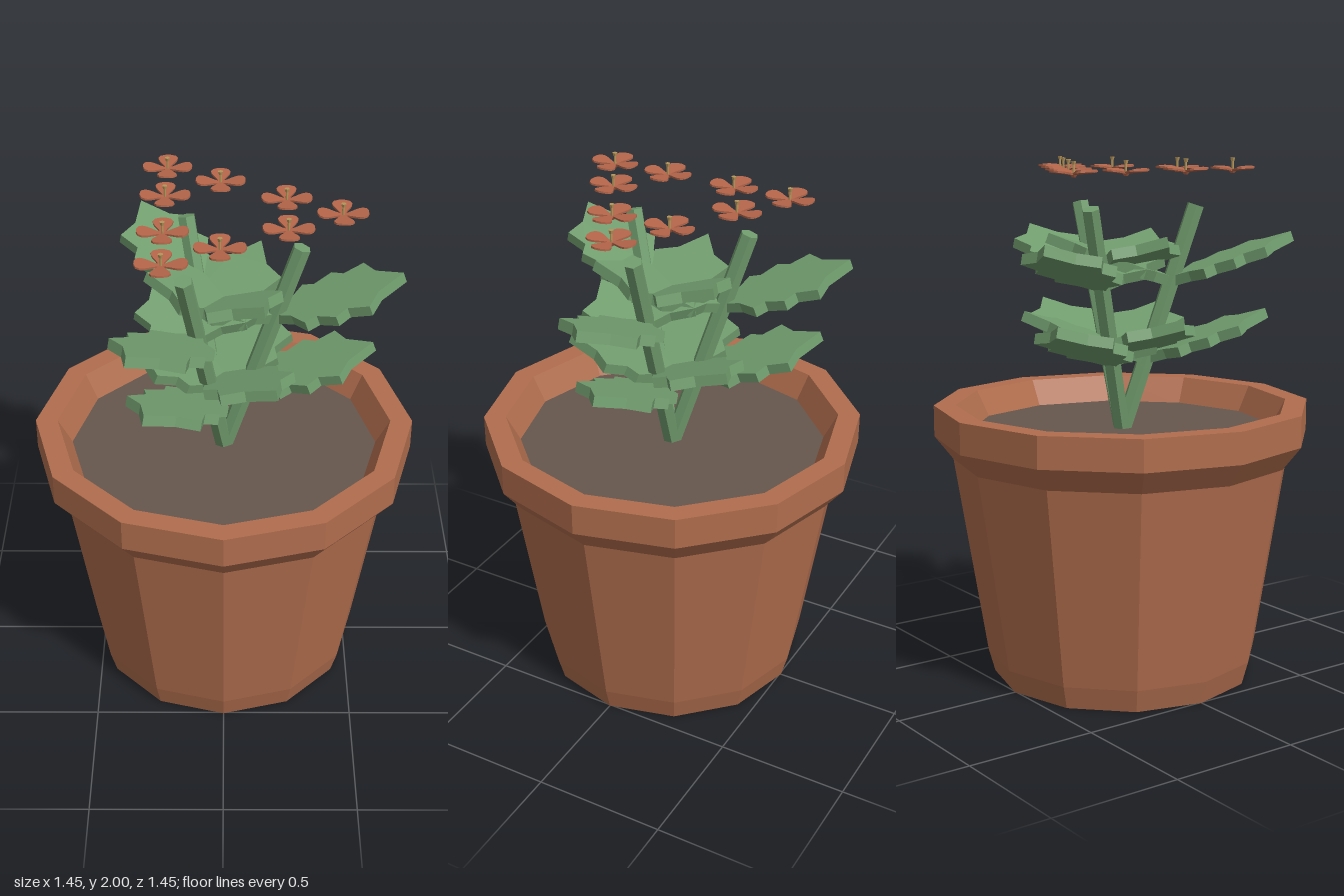
import * as THREE from 'three';

const mat = (name, color) => Object.assign(new THREE.MeshStandardMaterial({ color, flatShading: true }), { name });

export function createModel() {
  const clay = mat('terracotta', 0xb06d4d);
  const earth = mat('soil', 0x66574d);
  const green = mat('leaf green', 0x719d6e);
  const coral = mat('petal coral', 0xb5664a);
  const gold = mat('stamen gold', 0xb5955a);

  const model = new THREE.Group();
  model.name = 'pottedPlant';
  const add = (parent, name, geometry, material) => {
    const mesh = new THREE.Mesh(geometry, material);
    mesh.name = name;
    parent.add(mesh);
    return mesh;
  };
  const points = (list) => list.map(([x, y]) => new THREE.Vector2(x, y));

  // Twelve-sided pot with a thick rim and a shallow inner wall
  const profile = points([
    [0, 0], [0.505, 0], [0.53, 0.09], [0.653, 0.86], [0.724, 0.95],
    [0.724, 1.07], [0.64, 1.07], [0.585, 0.965],
  ]);
  add(model, 'pot', new THREE.LatheGeometry(profile, 12), clay);
  add(model, 'soil', new THREE.CircleGeometry(0.59, 12).rotateX(-Math.PI / 2), earth).position.y = 0.97;

  // Toothed leaf slab, base at the origin, rising towards +x
  const half = [
    [0, 0.015], [0.07, 0.06], [0.12, 0.135], [0.165, 0.115], [0.235, 0.16],
    [0.28, 0.125], [0.36, 0.157], [0.40, 0.075], [0.5, 0],
  ];
  const outline = [...half, ...half.slice(0, -1).reverse().map(([u, v]) => [u, -v])];
  const leafGeo = new THREE.ExtrudeGeometry(new THREE.Shape(points(outline)), { depth: 0.04, bevelEnabled: false });
  leafGeo.translate(0, 0, -0.02).rotateX(-Math.PI / 2).rotateZ(0.345);

  // Leaning stem, seen from its base on the soil
  const baseY = 0.96, topY = 1.825, topR = 0.28;
  const lean = Math.atan2(topR, topY - baseY);
  const stemLength = Math.hypot(topR, topY - baseY);
  const stemGeo = new THREE.CylinderGeometry(0.034, 0.034, stemLength, 6);
  stemGeo.translate(0, stemLength / 2, 0).rotateZ(-lean);

  // Petal widening to a rounded end
  const petal = new THREE.Shape();
  petal.moveTo(0, 0.007);
  petal.bezierCurveTo(0.03, 0.01, 0.045, 0.036, 0.072, 0.036);
  petal.bezierCurveTo(0.1, 0.034, 0.1, -0.034, 0.072, -0.036);
  petal.bezierCurveTo(0.045, -0.036, 0.03, -0.01, 0, -0.007);
  const petalGeo = new THREE.ExtrudeGeometry(petal, { depth: 0.007, bevelEnabled: false, curveSegments: 5 });
  petalGeo.rotateX(-Math.PI / 2).rotateZ(0.13);

  // Four-petalled blossom with a small stamen
  const makeFlower = () => {
    const flower = new THREE.Group();
    flower.name = 'flower';
    for (let i = 0; i < 4; i++) add(flower, 'petal', petalGeo, coral).rotation.y = i * Math.PI / 2;
    add(flower, 'flowerCup', new THREE.CylinderGeometry(0.018, 0.008, 0.014, 6), coral);
    add(flower, 'stamen', new THREE.CylinderGeometry(0.005, 0.005, 0.04, 6), gold).position.y = 0.022;
    add(flower, 'stamenTip', new THREE.CylinderGeometry(0.01, 0.007, 0.012, 6), gold).position.y = 0.044;
    return flower;
  };

  // Three branches, each with two leaf pairs and three blossoms above
  for (let k = 0; k < 3; k++) {
    const angle = k * Math.PI * 2 / 3;
    const branch = new THREE.Group();
    branch.name = 'branch';
    branch.rotation.y = angle;
    model.add(branch);
    add(branch, 'stem', stemGeo, green).position.y = baseY;

    for (const [r, y] of [[0.09, 1.24], [0.185, 1.535]]) {
      for (const turn of [0, Math.PI]) {
        const leaf = add(branch, turn ? 'innerLeaf' : 'outerLeaf', leafGeo, green);
        leaf.position.set(r, y, 0);
        leaf.rotation.y = turn;
      }
    }

    for (const [x, z] of [[0.42, 0], [0.225, 0.115], [0.225, -0.115]]) {
      const flower = makeFlower();
      flower.position.set(x, 1.95, z).applyAxisAngle(new THREE.Vector3(0, 1, 0), angle);
      model.add(flower);
    }
  }
  return model;
}
